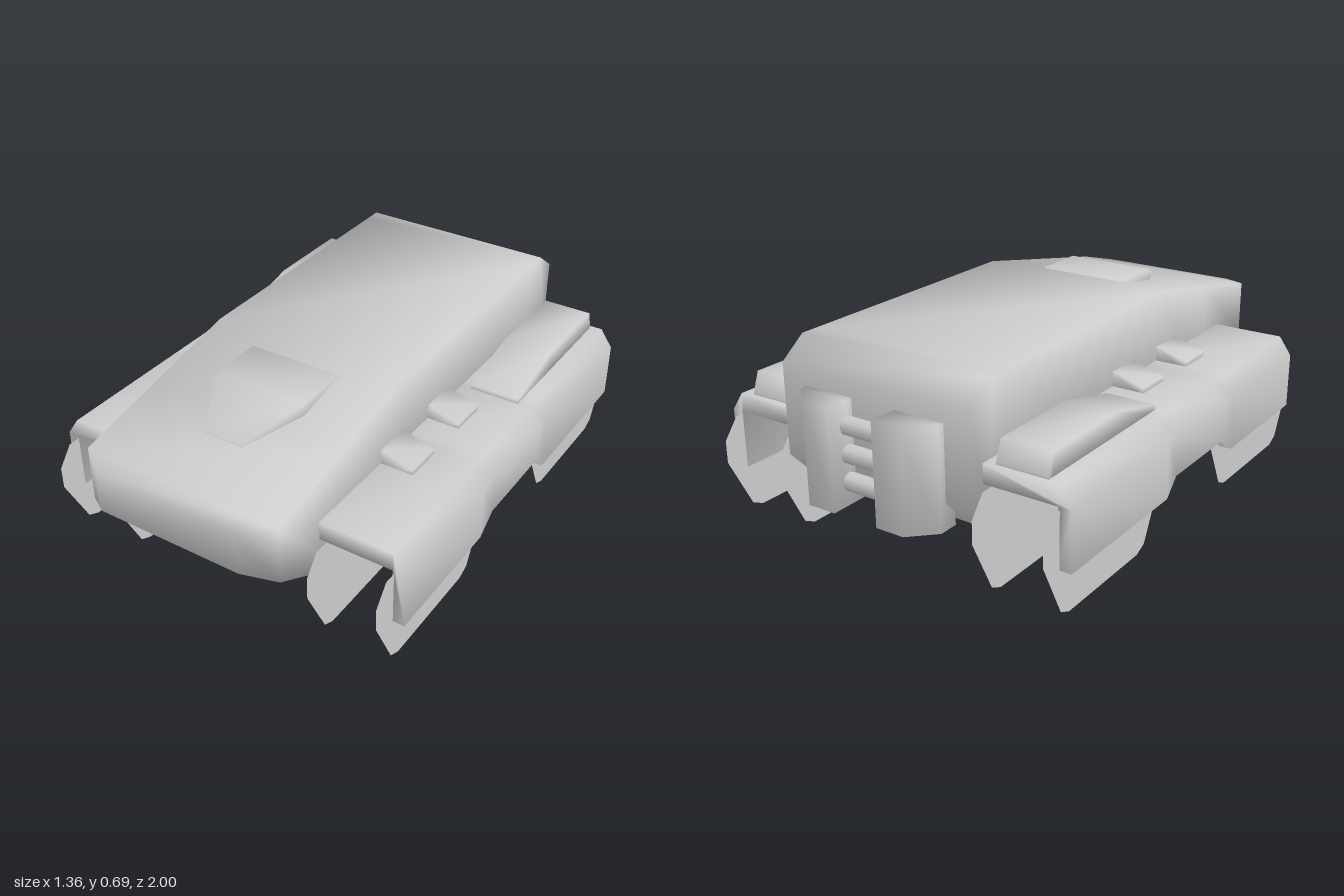
import * as THREE from 'three';

const material = new THREE.MeshStandardMaterial({ color: 0xcccccc });
const sheetMaterial = new THREE.MeshStandardMaterial({ color: 0xcccccc, side: THREE.DoubleSide });

// Joins cross-sections { z, ring } from back to front; rings run counter-clockwise seen from +z.
function loft(name, sections, side = 1) {
  const rings = sections.map(({ z, ring }) => {
    const pts = ring.map(([x, y]) => [x * side, y, z]);
    return side < 0 ? pts.reverse() : pts;
  });
  const n = rings[0].length, last = (rings.length - 1) * n, index = [];
  for (let i = 0; i < rings.length - 1; i++) {
    for (let j = 0; j < n; j++) {
      const a = i * n + j, b = i * n + (j + 1) % n;
      index.push(a, b, b + n, a, b + n, a + n);
    }
  }
  const cap = (ring) => THREE.ShapeUtils.triangulateShape(ring.map(([x, y]) => new THREE.Vector2(x, y)), []);
  for (const [a, b, c] of cap(rings[0])) index.push(c, b, a);
  for (const [a, b, c] of cap(rings[rings.length - 1])) index.push(a + last, b + last, c + last);
  const geometry = new THREE.BufferGeometry();
  geometry.setAttribute('position', new THREE.Float32BufferAttribute(rings.flat(2), 3));
  geometry.setIndex(index);
  geometry.computeVertexNormals();
  const mesh = new THREE.Mesh(geometry, material);
  mesh.name = name;
  return mesh;
}

const box = (z, x0, x1, y0, y1) => ({ z, ring: [[x0, y0], [x1, y0], [x1, y1], [x0, y1]] });

export function createModel() {
  const model = new THREE.Group();
  model.name = 'armouredVehicle';

  // Hull: z, half width, bottom, top
  model.add(loft('hull', [
    [-0.895, 0.37, 0.30, 0.62],
    [-0.80, 0.37, 0.20, 0.69],
    [-0.74, 0.37, 0.165, 0.69],
    [0.24, 0.37, 0.165, 0.69],
    [0.60, 0.37, 0.165, 0.619],
    [0.93, 0.37, 0.351, 0.554],
    [1.0, 0.27, 0.39, 0.54],
  ].map(([z, w, y0, y1]) => box(z, -w, w, y0, y1))));

  // Raised hatch on the sloping bow
  model.add(loft('hatch', [
    box(0.31, -0.173, 0.173, 0.59, 0.681),
    box(0.51, -0.173, 0.173, 0.57, 0.681),
    box(0.71, -0.075, 0.075, 0.55, 0.605),
  ]));

  // Wheel outline, as length along z and height
  const wheelShape = new THREE.Shape([
    [-0.345, 0.21], [-0.25, 0.02], [-0.205, 0], [0.205, 0], [0.25, 0.02],
    [0.345, 0.21], [0.345, 0.29], [0.29, 0.36], [-0.29, 0.36], [-0.345, 0.29],
  ].map(([x, y]) => new THREE.Vector2(x, y)));
  const wheelGeometry = new THREE.ShapeGeometry(wheelShape);

  for (const side of [1, -1]) {
    // Fender with a side skirt notched between the wheels
    const fender = [[-0.84, 0.165], [-0.26, 0.165], [-0.20, 0.225], [0.14, 0.225], [0.22, 0.165], [0.72, 0.165]];
    model.add(loft('fender', fender.map(([z, low]) => ({
      z,
      ring: [[0.36, 0.37], [0.635, 0.37], [0.635, low], [0.682, low], [0.682, 0.37], [0.635, 0.437], [0.36, 0.437]],
    })), side));

    // Tapered stowage pod on the rear fender
    model.add(loft('pod', [
      box(-0.825, 0.408, 0.592, 0.42, 0.445),
      box(-0.80, 0.408, 0.592, 0.42, 0.514),
      box(-0.45, 0.408, 0.592, 0.42, 0.514),
      box(-0.195, 0.408, 0.592, 0.42, 0.455),
    ], side));

    // Sloped brackets beside the hull
    for (const z of [-0.02, 0.29]) {
      model.add(loft('bracket', [-0.07, 0.07].map((d) => ({
        z: z + d,
        ring: [[0.36, 0.42], [0.49, 0.42], [0.49, 0.455], [0.36, 0.493]],
      })), side));
    }

    // Exhaust housing at the stern
    model.add(loft('exhaustHousing', [
      box(-1.0, 0.085, 0.19, 0.21, 0.56),
      box(-0.92, 0.085, 0.272, 0.21, 0.56),
      box(-0.85, 0.085, 0.272, 0.21, 0.56),
    ], side));

    // Thin wheel faces, an inner and outer one at each end
    for (const z of [0.475, -0.58]) {
      for (const x of [0.39, 0.64]) {
        const wheel = new THREE.Mesh(wheelGeometry, sheetMaterial);
        wheel.name = 'wheelFace';
        wheel.rotation.y = -Math.PI / 2;
        wheel.position.set(x * side, 0, z);
        model.add(wheel);
      }
    }
  }

  // Bars between the exhaust housings
  for (const y of [0.29, 0.385, 0.48]) {
    const bar = new THREE.Mesh(new THREE.CylinderGeometry(0.032, 0.032, 0.18, 8), material);
    bar.name = 'exhaustBar';
    bar.rotation.z = Math.PI / 2;
    bar.position.set(0, y, -0.922);
    model.add(bar);
  }
  return model;
}
